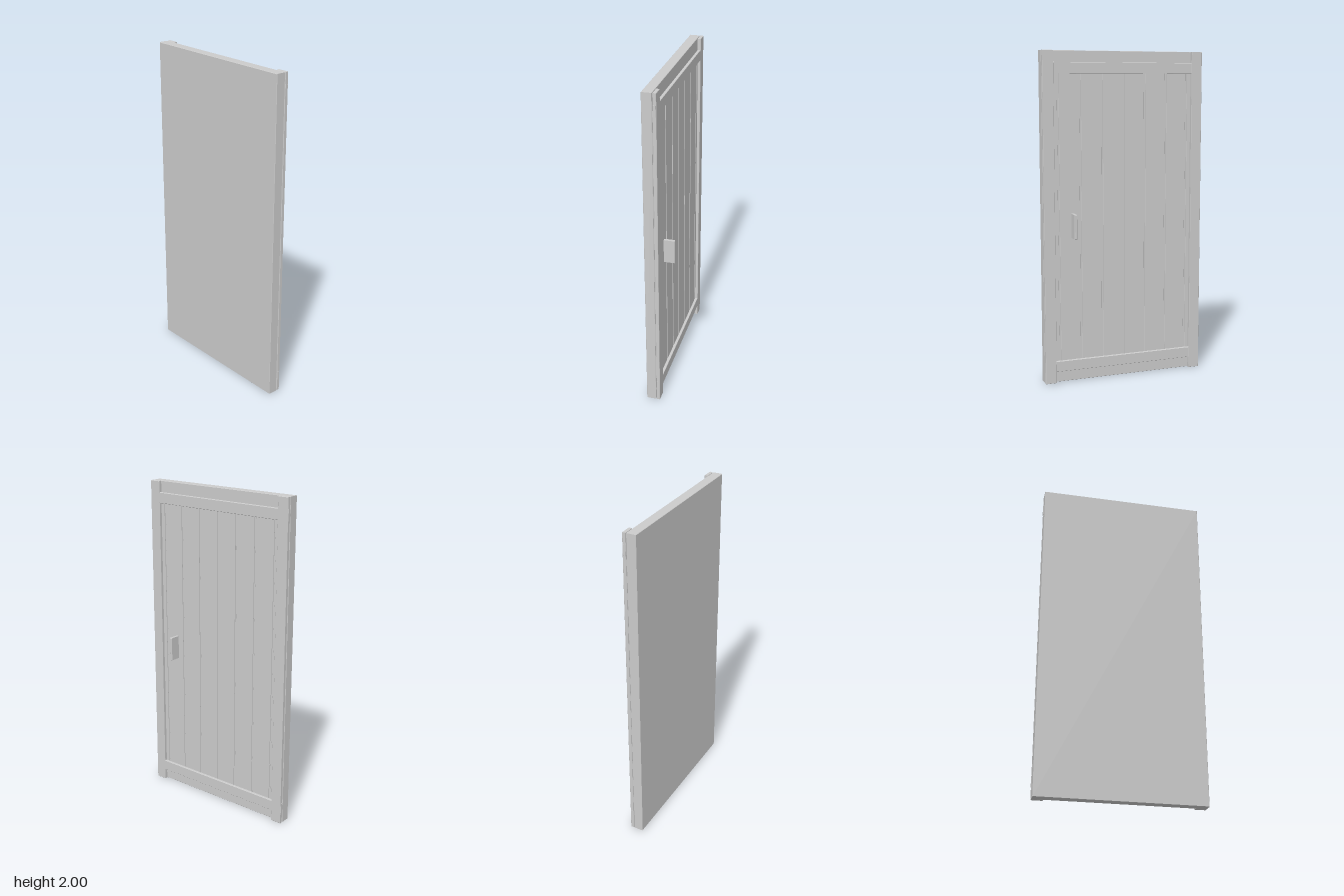
import * as THREE from 'three';

const material = new THREE.MeshStandardMaterial({ color: 0xcccccc });

// Box given by its min/max on each axis, with a small chamfer on its edges
function board(name, [x0, x1], [y0, y1], [z0, z1], bevel = 0.002) {
  const w = x1 - x0 - 2 * bevel, h = y1 - y0 - 2 * bevel;
  const shape = new THREE.Shape();
  shape.moveTo(-w / 2, -h / 2);
  shape.lineTo(w / 2, -h / 2);
  shape.lineTo(w / 2, h / 2);
  shape.lineTo(-w / 2, h / 2);
  shape.closePath();
  const geometry = new THREE.ExtrudeGeometry(shape, {
    depth: z1 - z0 - 2 * bevel,
    bevelEnabled: true,
    bevelThickness: bevel,
    bevelSize: bevel,
    bevelSegments: 1,
  });
  const mesh = new THREE.Mesh(geometry, material);
  mesh.name = name;
  mesh.position.set((x0 + x1) / 2, (y0 + y1) / 2, z0 + bevel);
  return mesh;
}

export function createModel() {
  const door = new THREE.Group();
  door.name = 'door';
  const half = 0.508;

  // Plain front slab
  door.add(board('frontSlab', [-half, half], [0, 2], [0.006, 0.065]));

  // Thin back boards separated by narrow grooves
  const boards = new THREE.Group();
  boards.name = 'backBoards';
  const pitch = 0.137, gap = 0.011;
  for (let i = -4; i < 4; i++) {
    const x0 = Math.max(-half + 0.005, i * pitch + gap / 2);
    const x1 = Math.min(half - 0.005, (i + 1) * pitch - gap / 2);
    boards.add(board('backBoard', [x0, x1], [0.1, 1.9], [0, 0.008], 0.001));
  }
  door.add(boards);

  // Upright stiles on both sides
  for (const side of [-1, 1]) {
    const xs = [side * 0.44, side * half].sort((a, b) => a - b);
    door.add(board(side > 0 ? 'leftStile' : 'rightStile', xs, [0, 2], [-0.018, 0.003]));
  }

  // Cross rails, their tenon ends showing through the stiles
  for (const [name, y0] of [['topRail', 1.867], ['bottomRail', 0.07]]) {
    door.add(board(name, [-0.441, 0.441], [y0, y0 + 0.065], [-0.017, 0.001]));
    for (const side of [-1, 1]) {
      const xs = [side * 0.48, side * 0.51].sort((a, b) => a - b);
      door.add(board(name + 'Tenon', xs, [y0, y0 + 0.065], [-0.013, 0.002], 0.001));
    }
  }

  // Flat upright pull handle
  door.add(board('handle', [0.317, 0.334], [0.89, 1.037], [-0.066, 0.004], 0.003));
  return door;
}
